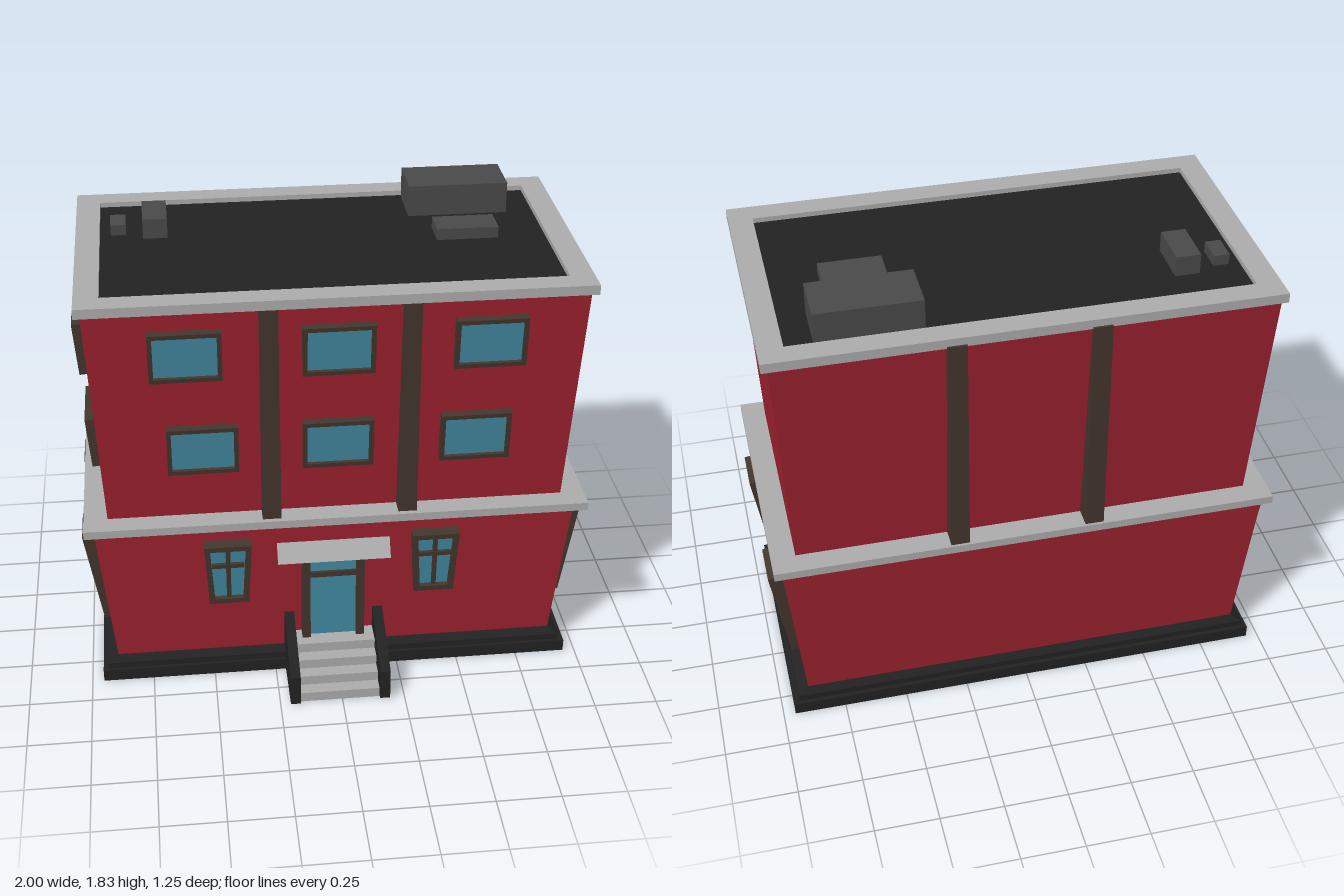
import * as THREE from 'three';

const mat = (name, color, side = THREE.FrontSide) => {
  const m = new THREE.MeshStandardMaterial({ color, side });
  m.name = name;
  return m;
};

export function createModel() {
  const model = new THREE.Group();
  model.name = 'building';

  const brick = mat('brick red', 0x9f2230, THREE.DoubleSide);
  const stone = mat('light stone', 0xaeaeae);
  const tar = mat('tar black', 0x222222, THREE.DoubleSide);
  const metal = mat('grey metal', 0x4a4a4a);
  const wood = mat('dark wood', 0x44362d);
  const glass = mat('blue glass', 0x438ba2);

  const add = (name, geo, material, parent = model) => {
    const mesh = new THREE.Mesh(geo, material);
    mesh.name = name;
    parent.add(mesh);
    return mesh;
  };

  // Box given by its min and max on each axis
  const box = (name, x0, x1, y0, y1, z0, z1, material, parent) => {
    const g = new THREE.BoxGeometry(x1 - x0, y1 - y0, z1 - z0);
    g.translate((x0 + x1) / 2, (y0 + y1) / 2, (z0 + z1) / 2);
    return add(name, g, material, parent);
  };

  // Flared shell; each level is [y, half width, back z, front z]; the bottom is open
  const flare = (name, lo, hi, material, capped) => {
    const g = new THREE.BoxGeometry(1, 1, 1);
    const p = g.attributes.position;
    for (let i = 0; i < p.count; i++) {
      const [y, w, back, front] = p.getY(i) > 0 ? hi : lo;
      p.setXYZ(i, Math.sign(p.getX(i)) * w, y, p.getZ(i) > 0 ? front : back);
    }
    const index = Array.from(g.index.array);
    g.setIndex([...index.slice(0, capped ? 18 : 12), ...index.slice(24)]);
    g.clearGroups();
    g.computeVertexNormals();
    return add(name, g, material);
  };

  // Horizontal rectangular ring; outer and inner are [half width, back z, front z]
  const ring = (name, y0, y1, outer, inner, material) => {
    const rect = ([w, b, f], Type) => {
      const s = new Type();
      s.moveTo(-w, -f).lineTo(w, -f);
      s.lineTo(w, -b).lineTo(-w, -b).closePath();
      return s;
    };
    const s = rect(outer, THREE.Shape);
    s.holes.push(rect(inner, THREE.Path));
    const g = new THREE.ExtrudeGeometry(s, { depth: y1 - y0, bevelEnabled: false });
    g.rotateX(-Math.PI / 2).translate(0, y0, 0);
    return add(name, g, material);
  };

  // Plinth
  const footprint = [0.885, -0.555, 0.335];
  ring('plinthFoot', 0, 0.05, [0.953, -0.6, 0.38], footprint, tar);
  ring('plinthStep', 0.05, 0.075, [0.932, -0.583, 0.365], footprint, tar);
  flare('plinthSlope', [0.075, 0.932, -0.583, 0.365], [0.1, 0.89, -0.56, 0.34], tar, false);

  // Walls, cornice and roof
  flare('lowerWalls', [0.03, 0.884, -0.554, 0.334], [0.745, 0.952, -0.592, 0.37], brick, true);
  box('cornice', -0.983, 0.983, 0.745, 0.778, -0.623, 0.457, stone);
  flare('upperWalls', [0.775, 0.89, -0.533, 0.37], [1.685, 0.932, -0.595, 0.435], brick, false);
  ring('roofTrim', 1.682, 1.72, [0.955, -0.605, 0.457], [0.862, -0.515, 0.365], stone);
  box('roof', -0.88, 0.88, 1.685, 1.7, -0.53, 0.38, tar);

  // Rooftop units: x0, x1, top, z0, z1
  for (const [x0, x1, top, z0, z1] of [
    [0.36, 0.755, 1.825, -0.5, -0.295],
    [0.435, 0.675, 1.745, -0.175, 0.05 - 0.1],
    [-0.695, -0.6, 1.78, -0.37, -0.185],
    [-0.82, -0.76, 1.742, -0.335, -0.23],
  ]) box('rooftopUnit', x0, x1, 1.695, top, z0, z1, metal);

  // Pilasters, front and back
  for (const x of [-0.258, 0.27]) {
    box('frontPilaster', x - 0.036, x + 0.036, 0.775, 1.684, 0.34, 0.437, wood);
    box('backPilaster', x - 0.036, x + 0.036, 0.775, 1.69, -0.613, -0.5, wood);
  }

  // Trapezoid outline, wider at the top when taper > 0
  const trapezoid = (Type, w, h, taper) => {
    const s = new Type(), b = w / 2 - taper, t = w / 2 + taper;
    s.moveTo(-b, -h / 2).lineTo(b, -h / 2);
    s.lineTo(t, h / 2).lineTo(-t, h / 2).closePath();
    return s;
  };

  // Framed window leaning outward; bar is the local height of the crossbar, if any
  const window_ = (pos, turn, w, h, { border, depth, tilt, taper = 0, bar = null }) => {
    const g = new THREE.Group();
    g.name = 'window';
    g.position.set(...pos);
    g.rotation.set(tilt, turn, 0, 'YXZ');
    const outline = trapezoid(THREE.Shape, w, h, taper);
    outline.holes.push(trapezoid(THREE.Path, w - 2 * border, h - 2 * border, taper));
    const frame = new THREE.ExtrudeGeometry(outline, { depth: depth + 0.02, bevelEnabled: false });
    add('windowFrame', frame.translate(0, 0, -0.02), wood, g);
    const pane = new THREE.ShapeGeometry(trapezoid(THREE.Shape, w - border, h - border, taper));
    add('windowPane', pane.translate(0, 0, depth * 0.55), glass, g);
    if (bar !== null) {
      const hw = w / 2 - border, hh = h / 2 - border * 0.8;
      box('mullion', -0.009, 0.009, -hh, hh, 0, depth * 0.8, wood, g);
      box('crossbar', -hw, hw, bar - 0.009, bar + 0.009, 0, depth * 0.85, wood, g);
    }
    model.add(g);
  };

  // Upper windows: two rows on the front and on the right-hand wall
  for (const [y, xs, zs, wallZ, wallX] of [
    [1.503, [-0.565, 0, 0.565], [-0.365, 0.205], 0.421, -0.923],
    [1.09, [-0.513, 0, 0.527], [-0.34, 0.18], 0.392, -0.904],
  ]) {
    for (const x of xs)
      window_([x, y, wallZ], 0, 0.27, 0.205, { border: 0.017, depth: 0.032, tilt: 0.09 });
    for (const z of zs)
      window_([wallX, y, z], -Math.PI / 2, 0.27, 0.205, { border: 0.017, depth: 0.038, tilt: 0.08 });
  }

  // Ground floor windows
  for (const x of [-0.432, 0.392])
    window_([x, 0.505, 0.359], 0, 0.172, 0.28,
      { border: 0.022, depth: 0.046, tilt: 0.07, taper: 0.007, bar: 0.04 });
  for (const side of [-1, 1])
    for (const z of [-0.4, 0.19])
      window_([side * 0.923, 0.448, z], side * Math.PI / 2, 0.18, 0.395,
        { border: 0.025, depth: 0.045, tilt: 0.163, bar: 0.01 });

  // Door
  const door = new THREE.Group();
  door.name = 'door';
  model.add(door);
  box('doorJamb', -0.14, -0.107, 0.16, 0.58, 0.33, 0.395, wood, door);
  box('doorJamb', 0.078, 0.111, 0.16, 0.58, 0.33, 0.395, wood, door);
  box('doorHead', -0.14, 0.111, 0.56, 0.585, 0.33, 0.395, wood, door);
  box('doorTransom', -0.107, 0.078, 0.452, 0.475, 0.33, 0.385, wood, door);
  box('doorPane', -0.107, 0.078, 0.16, 0.56, 0.366, 0.373, glass, door);

  // Slanted awning over the door
  const awning = add('awning', new THREE.BoxGeometry(0.445, 0.085, 0.012), stone);
  awning.position.set(-0.017, 0.608, 0.43);
  awning.rotation.x = -0.57;

  // Entrance steps
  for (let i = 0; i < 4; i++)
    box('step', -0.17, 0.152, i * 0.041, (i + 1) * 0.041, 0.335, 0.597 - i * 0.053, stone);

  // Sloped side walls of the steps
  for (const x of [-0.21, 0.15]) {
    const s = new THREE.Shape();
    s.moveTo(-0.622, 0.01).lineTo(-0.335, 0.01);
    s.lineTo(-0.335, 0.265).lineTo(-0.36, 0.262);
    s.lineTo(-0.622, 0.14).closePath();
    const g = new THREE.ExtrudeGeometry(s, { depth: 0.04, bevelEnabled: false });
    g.rotateY(Math.PI / 2).translate(x, 0, 0);
    add('stairWall', g, tar);
  }

  return model;
}
